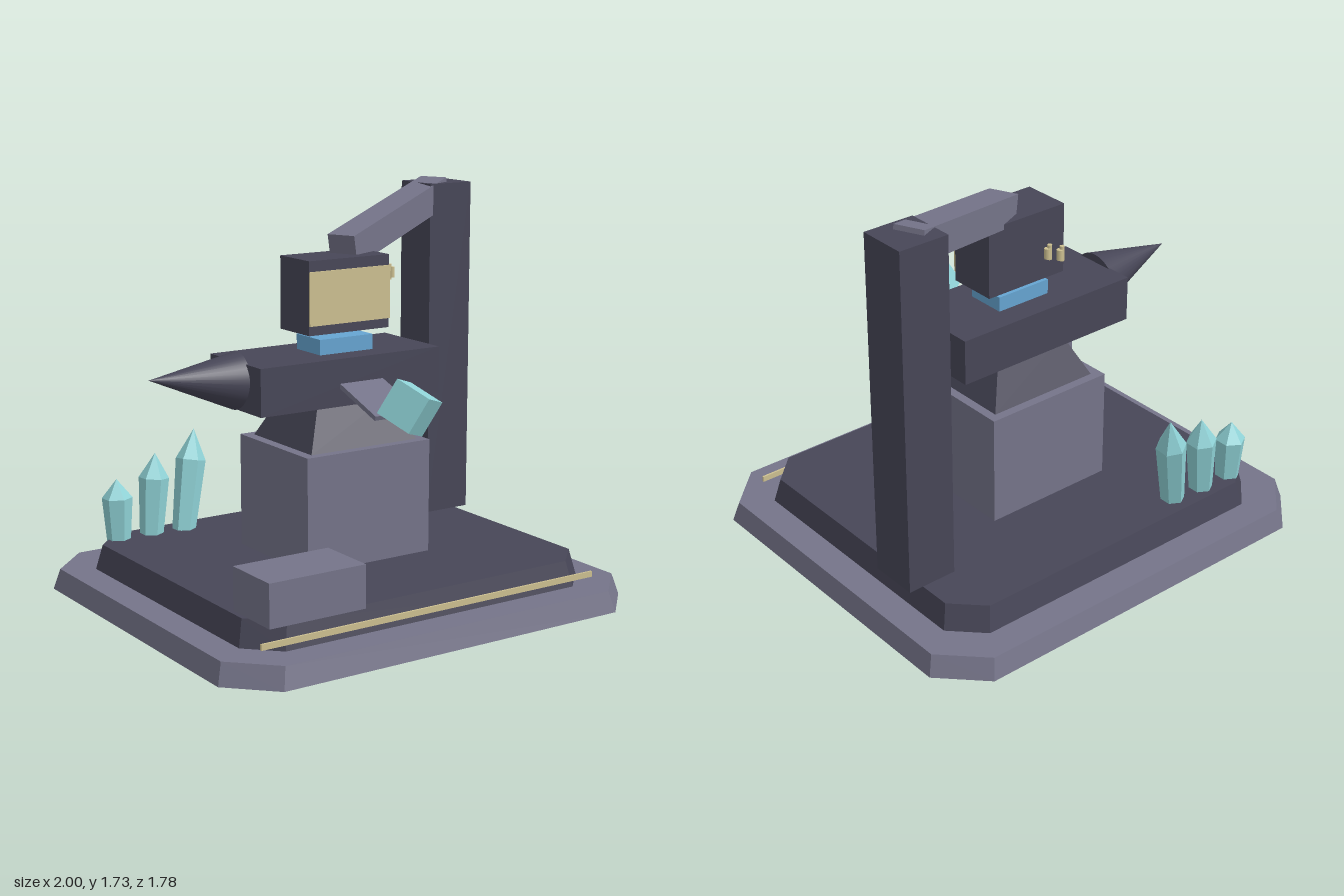
import * as THREE from 'three';

const mat = (name, color) => {
  const m = new THREE.MeshStandardMaterial({ color });
  m.name = name;
  return m;
};

export function createModel() {
  const root = new THREE.Group();
  root.name = 'forgeStation';
  const stone = mat('lightStone', 0x757489);
  const iron = mat('darkIron', 0x474657);
  const brass = mat('paleBrass', 0xcdc091);
  const crystal = mat('tealCrystal', 0x8fd2d6);
  const blue = mat('blueIngot', 0x66a5d2);

  const add = (name, geo, material, x = 0, y = 0, z = 0, parent = root) => {
    const m = new THREE.Mesh(geo, material);
    m.name = name;
    m.position.set(x, y, z);
    parent.add(m);
    return m;
  };

  // Box given by its min and max corners
  const block = (name, material, [x0, y0, z0], [x1, y1, z1]) =>
    add(name, new THREE.BoxGeometry(x1 - x0, y1 - y0, z1 - z0), material,
      (x0 + x1) / 2, (y0 + y1) / 2, (z0 + z1) / 2);

  // Narrow the upper vertices of a geometry
  const taper = (geo, yMid, sx, sz) => {
    const p = geo.attributes.position;
    for (let i = 0; i < p.count; i++) {
      if (p.getY(i) > yMid) p.setXYZ(i, p.getX(i) * sx, p.getY(i), p.getZ(i) * sz);
    }
    geo.computeVertexNormals();
    return geo;
  };

  // Platform tier: rectangle with cut corners and sloping sides
  const tier = (name, material, w, d, cut, y, h, slope) => {
    const pts = [[w, d - cut], [w - cut, d], [cut - w, d], [-w, d - cut],
      [-w, cut - d], [cut - w, -d], [w - cut, -d], [w, cut - d]];
    const shape = new THREE.Shape(pts.map(([a, b]) => new THREE.Vector2(a, b)));
    const geo = new THREE.ExtrudeGeometry(shape, { depth: h, bevelEnabled: false });
    geo.rotateX(-Math.PI / 2);
    add(name, taper(geo, h / 2, (w - slope) / w, (d - slope) / d), material, 0, y, 0);
  };
  tier('lowerPlatform', stone, 1, 0.89, 0.18, 0, 0.09, 0.025);
  tier('upperPlatform', iron, 0.845, 0.735, 0.13, 0.09, 0.11, 0.025);
  block('platformTrim', brass, [-0.825, 0.115, 0.728], [0.82, 0.14, 0.737]);
  block('consoleBox', stone, [-0.8, 0.2, 0.49], [-0.36, 0.38, 0.755]);

  // Anvil
  block('pedestal', stone, [-0.31, 0.2, -0.265], [0.305, 0.69, 0.265]);
  add('anvilNeck', taper(new THREE.BoxGeometry(0.53, 0.18, 0.45), 0, 0.67, 0.61), iron, 0, 0.78, 0);
  block('anvilBody', iron, [-0.49, 0.87, -0.2], [0.4, 1.07, 0.2]);
  const horn = add('anvilHorn', new THREE.ConeGeometry(0.12, 0.4, 32), iron, -0.69, 1.012, 0);
  horn.rotation.z = Math.PI / 2 - 0.113;
  block('ingot', blue, [-0.133, 1.07, -0.09], [0.13, 1.135, 0.09]);

  // Hammer head with face plate and small studs
  block('hammerHead', iron, [-0.2, 1.16, -0.11], [0.2, 1.47, 0.11]);
  block('hammerPlate', brass, [-0.2, 1.2, 0.11], [0.2, 1.425, 0.118]);
  for (const [x, z] of [[0.213, 0.103], [0.02, -0.34], [0.05, -0.3]]) {
    const stud = new THREE.Group();
    stud.name = 'stud';
    stud.position.set(x, 1.395, z);
    root.add(stud);
    add('studPin', new THREE.CylinderGeometry(0.01, 0.01, 0.065, 8), brass, -0.007, 0, 0, stud);
    add('studKnob', new THREE.CylinderGeometry(0.014, 0.014, 0.045, 8), brass, 0.004, -0.003, 0, stud);
  }

  // Column and sloping arm
  block('column', iron, [0.66, 0.2, -0.44], [0.885, 1.71, -0.222]);
  const arm = add('arm', new THREE.BoxGeometry(0.13, 0.13, 0.823), stone, 0.405, 1.577, -0.169);
  arm.lookAt(0.405 + 0.73, 1.577 + 0.18, -0.169 - 0.335);

  // Tray with tilted crystal cube
  const tray = add('tray', new THREE.BoxGeometry(0.215, 0.02, 0.28), stone, 0, 0.913, 0.32);
  tray.rotation.x = 0.34;
  const cube = add('crystalCube', new THREE.BoxGeometry(0.16, 0.16, 0.16), crystal, -0.002, 0.915, 0.542);
  cube.rotation.set(0.48, 0.4, -0.51);

  // Crystal cluster, each grown from a foot to a tip
  const shards = [
    [[-0.715, 0.19, -0.635], [-0.717, 0.467, -0.642]],
    [[-0.555, 0.19, -0.632], [-0.522, 0.557, -0.648]],
    [[-0.4, 0.19, -0.617], [-0.313, 0.636, -0.668]],
  ];
  for (const [a, b] of shards) {
    const foot = new THREE.Vector3(...a);
    const axis = new THREE.Vector3(...b).sub(foot);
    const h = axis.length();
    const shard = new THREE.Group();
    shard.name = 'crystalShard';
    shard.position.copy(foot);
    shard.quaternion.setFromUnitVectors(new THREE.Vector3(0, 1, 0), axis.normalize());
    root.add(shard);
    const flat = (g) => {
      const n = g.toNonIndexed();
      n.computeVertexNormals();
      return n;
    };
    add('shardBody', flat(new THREE.CylinderGeometry(0.067, 0.052, h * 0.7, 6)), crystal, 0, h * 0.35, 0, shard);
    add('shardTip', flat(new THREE.ConeGeometry(0.067, h * 0.3, 6)), crystal, 0, h * 0.85, 0, shard);
  }
  return root;
}
